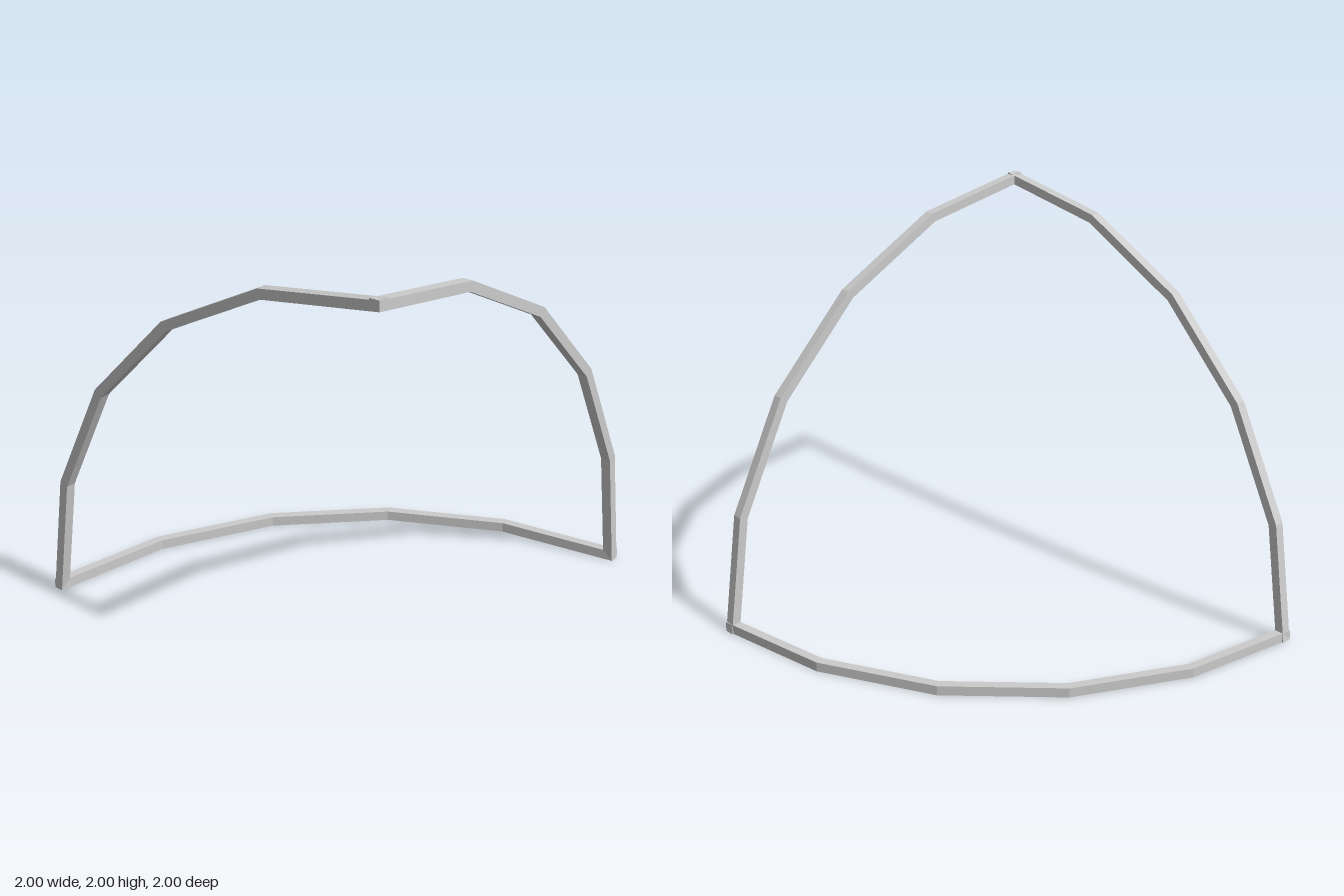
import * as THREE from 'three';

const OUTER = 2, INNER = 1.953, DEPTH = 0.05, SEGMENTS = 5;

// Faceted quarter ring with its centre at the origin
function quarterRing() {
  const ring = (r) => Array.from({ length: SEGMENTS + 1 }, (_, i) => {
    const a = (i / SEGMENTS) * Math.PI / 2;
    return new THREE.Vector2(r * Math.cos(a), r * Math.sin(a));
  });
  const shape = new THREE.Shape([...ring(OUTER), ...ring(INNER).reverse()]);
  return new THREE.ExtrudeGeometry(shape, { depth: DEPTH, bevelEnabled: false });
}

export function createModel() {
  const group = new THREE.Group();
  group.name = 'sphereOctantFrame';
  const material = new THREE.MeshStandardMaterial({ color: 0xcccccc, flatShading: true });

  const addArc = (name, geometry) => {
    geometry.translate(-1, 0, 1);
    const mesh = new THREE.Mesh(geometry, material);
    mesh.name = name;
    group.add(mesh);
  };

  // Three arcs around one corner, one in each plane, meeting at their tips
  addArc('frontArc', quarterRing().translate(0, 0, -DEPTH));
  addArc('sideArc', quarterRing().rotateY(Math.PI / 2));
  addArc('baseArc', quarterRing().rotateX(-Math.PI / 2));
  return group;
}
